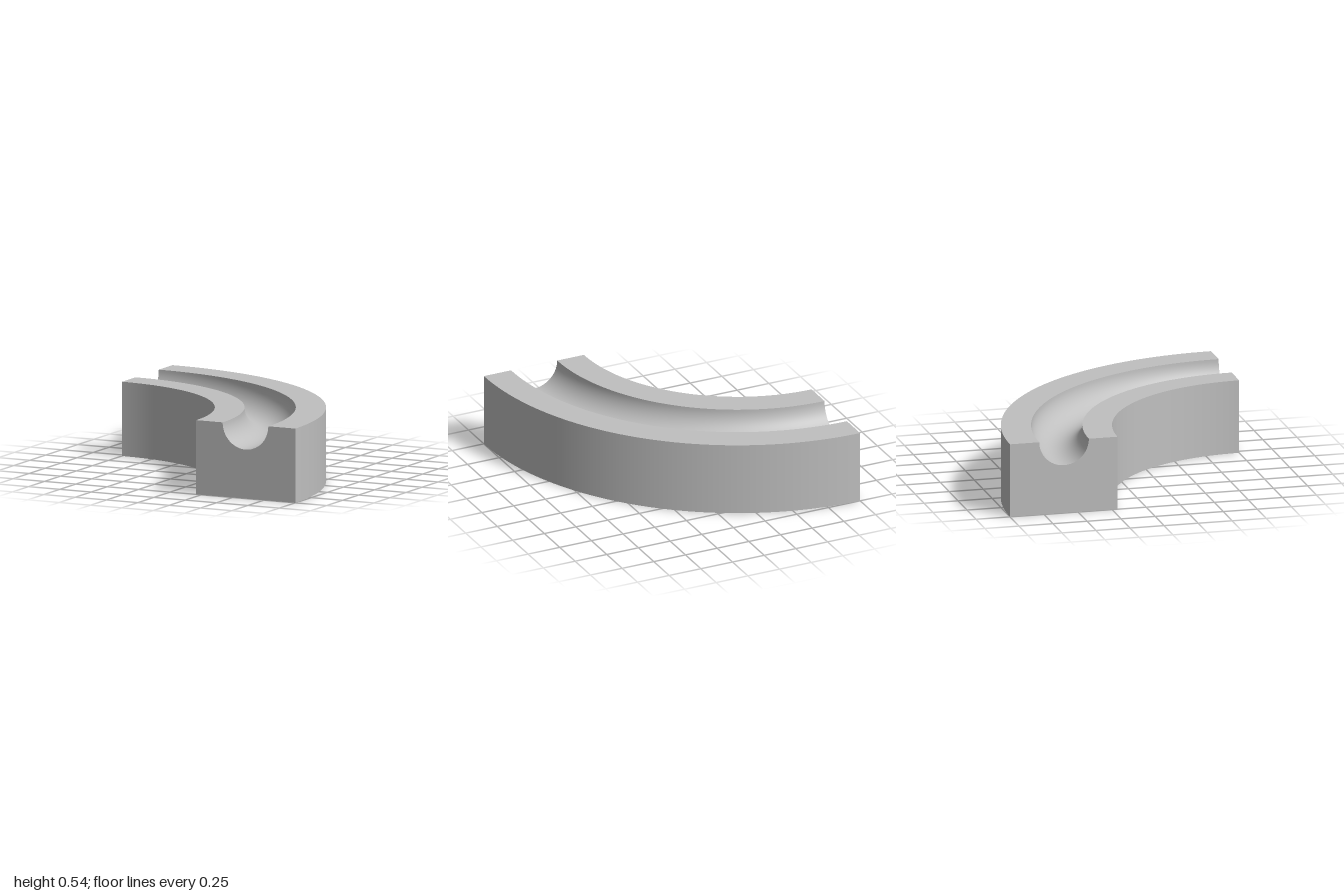
import * as THREE from 'three';

const INNER = 1.21, OUTER = 2, HEIGHT = 0.535;
const GROOVE_MID = 1.603, GROOVE_R = 0.182;

export function createModel() {
  const group = new THREE.Group();
  group.name = 'curvedTrack';
  const grey = new THREE.MeshStandardMaterial({ color: 0xc0c0c0 });
  grey.name = 'light grey';

  const add = (name, geometry) => {
    const mesh = new THREE.Mesh(geometry, grey);
    mesh.name = name;
    mesh.position.set(-1, 0, 1); // centre of the bend
    group.add(mesh);
    return mesh;
  };

  // Cross-section corners as (radius, height), counter-clockwise
  const p = (r, y) => new THREE.Vector2(r, y);
  const bottomIn = p(INNER, 0), bottomOut = p(OUTER, 0);
  const topOut = p(OUTER, HEIGHT), topIn = p(INNER, HEIGHT);
  const groove = [];
  for (let i = 0; i <= 32; i++) {
    const a = -Math.PI * i / 32;
    groove.push(p(GROOVE_MID + GROOVE_R * Math.cos(a), HEIGHT + GROOVE_R * Math.sin(a)));
  }
  const grooveOut = groove[0], grooveIn = groove[groove.length - 1];

  // Each side is swept through a quarter turn on its own, keeping edges sharp
  const sides = {
    underside: [bottomIn, bottomOut],
    outerWall: [bottomOut, topOut],
    outerRim: [topOut, grooveOut],
    groove,
    innerRim: [grooveIn, topIn],
    innerWall: [topIn, bottomIn],
  };
  for (const [name, points] of Object.entries(sides)) {
    add(name, new THREE.LatheGeometry(points, 64, Math.PI / 2, Math.PI / 2));
  }

  // Flat end faces
  const section = [bottomIn, bottomOut, topOut, ...groove, topIn];
  add('frontEnd', new THREE.ShapeGeometry(new THREE.Shape(section)));
  const mirrored = section.map((v) => p(-v.x, v.y));
  add('sideEnd', new THREE.ShapeGeometry(new THREE.Shape(mirrored))).rotation.y = -Math.PI / 2;

  return group;
}
